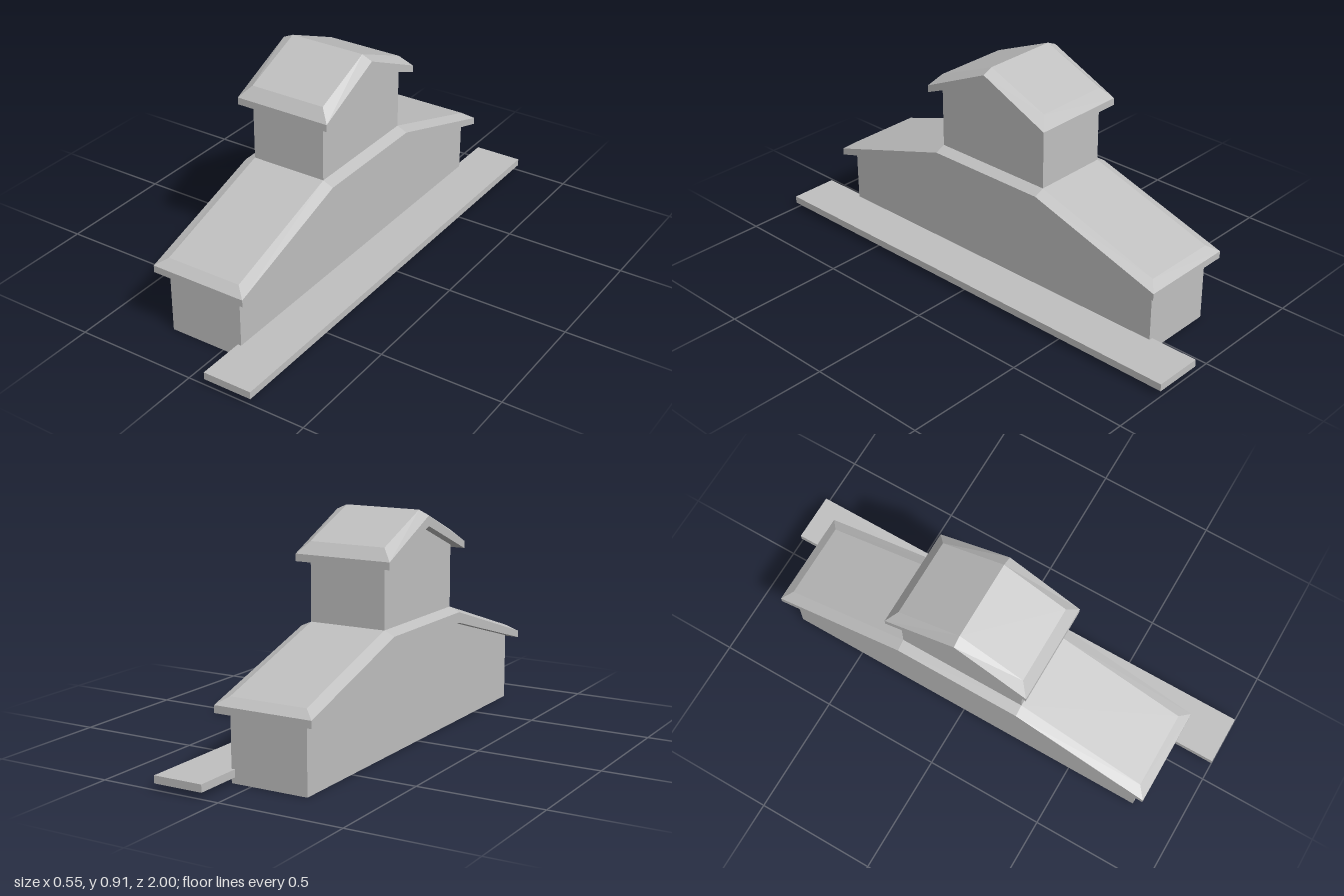
import * as THREE from 'three';

const LEFT = 0.085, RIGHT = -0.235; // wall planes
const EAVE = 0.043;                 // roof overhang at the sides

// Wall block: a profile in (z, y) extruded across the width
function wallGeometry(profile) {
  const shape = new THREE.Shape(profile.map(([z, y]) => new THREE.Vector2(z, y)));
  const geo = new THREE.ExtrudeGeometry(shape, { depth: LEFT - RIGHT, bevelEnabled: false });
  return geo.rotateY(Math.PI / 2).translate(RIGHT, 0, 0);
}

// Chamfered roof slab lofted through stations ordered from front to back.
// Each station: [edge z, underside y, edge top y, inner top z, inner top y]
function roofGeometry(stations) {
  const rings = stations.map(([z, low, edge, zi, top]) => [
    [LEFT + EAVE, low, z], [LEFT + EAVE, edge, z], [LEFT, top, zi],
    [RIGHT, top, zi], [RIGHT - EAVE, edge, z], [RIGHT - EAVE, low, z],
  ]);
  const pos = [];
  const quad = (a, b, c, d) => pos.push(...a, ...b, ...c, ...a, ...c, ...d);
  for (let i = 0; i < rings.length - 1; i++) {
    const a = rings[i], b = rings[i + 1];
    for (let k = 0; k < 6; k++) {
      const n = (k + 1) % 6;
      quad(a[k], b[k], b[n], a[n]);
    }
  }
  // Eave faces and the chamfers above them
  const f = rings[0], r = rings[rings.length - 1];
  quad(f[0], f[1], f[4], f[5]);
  quad(f[1], f[2], f[3], f[4]);
  quad(r[5], r[4], r[1], r[0]);
  quad(r[4], r[3], r[2], r[1]);
  const geo = new THREE.BufferGeometry();
  geo.setAttribute('position', new THREE.Float32BufferAttribute(pos, 3));
  geo.computeVertexNormals();
  return geo;
}

// Mirror front stations to the back
const mirrored = (front, middle = []) => [
  ...front, ...middle,
  ...[...front].reverse().map(([z, l, e, zi, t]) => [-z, l, e, -zi, t]),
];

export function createModel() {
  const group = new THREE.Group();
  const grey = new THREE.MeshStandardMaterial({ color: 0xc0c0c0, flatShading: true });
  grey.name = 'plain grey';
  const add = (name, geo) => {
    const mesh = new THREE.Mesh(geo, grey);
    mesh.name = name;
    group.add(mesh);
  };

  // Long lower building
  add('mainWalls', wallGeometry([
    [-0.8, 0], [0.8, 0], [0.8, 0.29], [0.265, 0.45], [-0.265, 0.45], [-0.8, 0.29],
  ]));
  add('mainRoof', roofGeometry(mirrored([
    [0.838, 0.262, 0.291, 0.8, 0.32],
    [0.265, 0.43, 0.473, 0.265, 0.492],
  ])));

  // Central tower with a gable roof
  add('towerWalls', wallGeometry([
    [-0.265, 0.45], [0.265, 0.45], [0.265, 0.765], [0, 0.87], [-0.265, 0.765],
  ]));
  add('towerRoof', roofGeometry(mirrored(
    [[0.303, 0.727, 0.756, 0.265, 0.802]],
    [[0, 0.852, 0.893, 0, 0.912]],
  )));

  // Walkway along the left side
  const deck = new THREE.BoxGeometry(0.205, 0.03, 2);
  deck.translate(0.1725, 0.039, 0);
  add('walkway', deck);

  return group;
}
